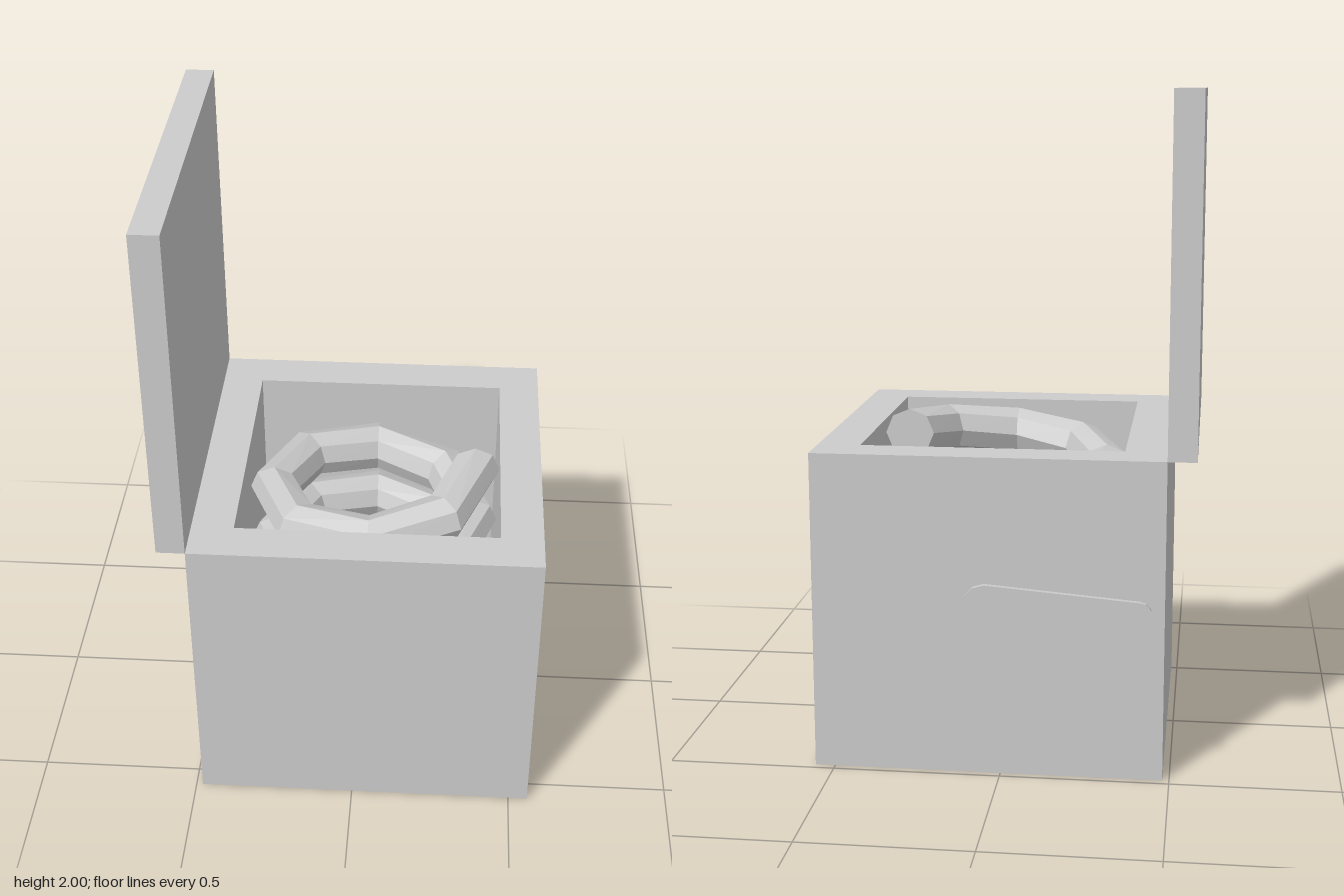
import * as THREE from 'three';

const C = 0.04; // centre of the box in x and z
const SIZE = 1.04, HEIGHT = 0.96, HOLE = 0.786;

const flat = new THREE.MeshStandardMaterial({ color: 0xcccccc, flatShading: true });
const smooth = new THREE.MeshStandardMaterial({ color: 0xcccccc });

function add(parent, name, geometry, material, x, y, z) {
  const mesh = new THREE.Mesh(geometry, material);
  mesh.name = name;
  mesh.position.set(x, y, z);
  parent.add(mesh);
  return mesh;
}

function square(target, s) {
  const h = s / 2;
  target.moveTo(-h, -h).lineTo(h, -h).lineTo(h, h).lineTo(-h, h).closePath();
  return target;
}

// Eight-sided tube wound down a helix of eight steps per turn, with capped ends
function coilGeometry(radius, tube, pitch, turns) {
  const N = 8, steps = turns * N;
  const pos = [], idx = [];
  for (let i = 0; i <= steps; i++) {
    const t = (i / N) * Math.PI * 2;
    for (let j = 0; j < N; j++) {
      const p = (j / N) * Math.PI * 2;
      const r = radius + tube * Math.cos(p);
      pos.push(r * Math.cos(t), tube * Math.sin(p) - (pitch * i) / N, r * Math.sin(t));
    }
  }
  for (let i = 0; i < steps; i++) {
    for (let j = 0; j < N; j++) {
      const a = i * N + j, b = i * N + ((j + 1) % N);
      idx.push(a, b, a + N, b, b + N, a + N);
    }
  }
  const last = steps * N;
  for (let j = 1; j < N - 1; j++) {
    idx.push(0, j + 1, j, last, last + j, last + j + 1);
  }
  const g = new THREE.BufferGeometry();
  g.setAttribute('position', new THREE.Float32BufferAttribute(pos, 3));
  g.setIndex(idx);
  const out = g.toNonIndexed();
  out.computeVertexNormals();
  return out;
}

// Tapered plate with a faceted round at each end, hub at the origin, tip towards -x
function armGeometry(length, hubR, tipR, depth) {
  const pts = [];
  const N = 6;
  for (let i = 0; i <= N; i++) {
    const a = -Math.PI / 2 + (i / N) * Math.PI;
    pts.push(new THREE.Vector2(hubR * 0.92 * Math.cos(a), hubR * Math.sin(a)));
  }
  for (let i = 0; i <= N; i++) {
    const a = Math.PI / 2 + (i / N) * Math.PI;
    pts.push(new THREE.Vector2(-length + tipR * Math.cos(a), tipR * Math.sin(a)));
  }
  return new THREE.ExtrudeGeometry(new THREE.Shape(pts), { depth, bevelEnabled: false });
}

export function createModel() {
  const model = new THREE.Group();
  model.name = 'springBox';

  // Open box: square walls around a square well, closed by a floor
  const box = new THREE.Group();
  box.name = 'box';
  const outline = square(new THREE.Shape(), SIZE);
  outline.holes.push(square(new THREE.Path(), HOLE));
  const walls = new THREE.ExtrudeGeometry(outline, { depth: HEIGHT, bevelEnabled: false });
  walls.rotateX(-Math.PI / 2);
  add(box, 'walls', walls, flat, C, 0, C + 0.003);
  add(box, 'floor', new THREE.BoxGeometry(HOLE, 0.13, HOLE), flat, C, 0.065, C + 0.003);
  model.add(box);

  // Lid standing open along one side
  add(model, 'lid', new THREE.BoxGeometry(0.085, 2 - HEIGHT, SIZE), flat,
    -0.5225, (2 + HEIGHT) / 2, C + 0.003);

  // Spring inside the well
  add(model, 'spring', coilGeometry(0.315, 0.077, 0.2, 4), flat, C, 0.918, C + 0.003);

  // Crank on the back: axle, arm and flared knob
  const crank = new THREE.Group();
  crank.name = 'crank';
  crank.position.set(C, 0.525, 0);
  const axle = new THREE.CylinderGeometry(0.041, 0.041, 0.05, 32).rotateX(Math.PI / 2);
  add(crank, 'axle', axle, smooth, 0, 0, -0.5);
  add(crank, 'arm', armGeometry(0.45, 0.072, 0.035, 0.016), flat, 0, 0, -0.538);
  const knob = new THREE.CylinderGeometry(0.027, 0.041, 0.031, 32).rotateX(Math.PI / 2);
  add(crank, 'knob', knob, smooth, -0.45, 0, -0.5525);
  model.add(crank);

  return model;
}
